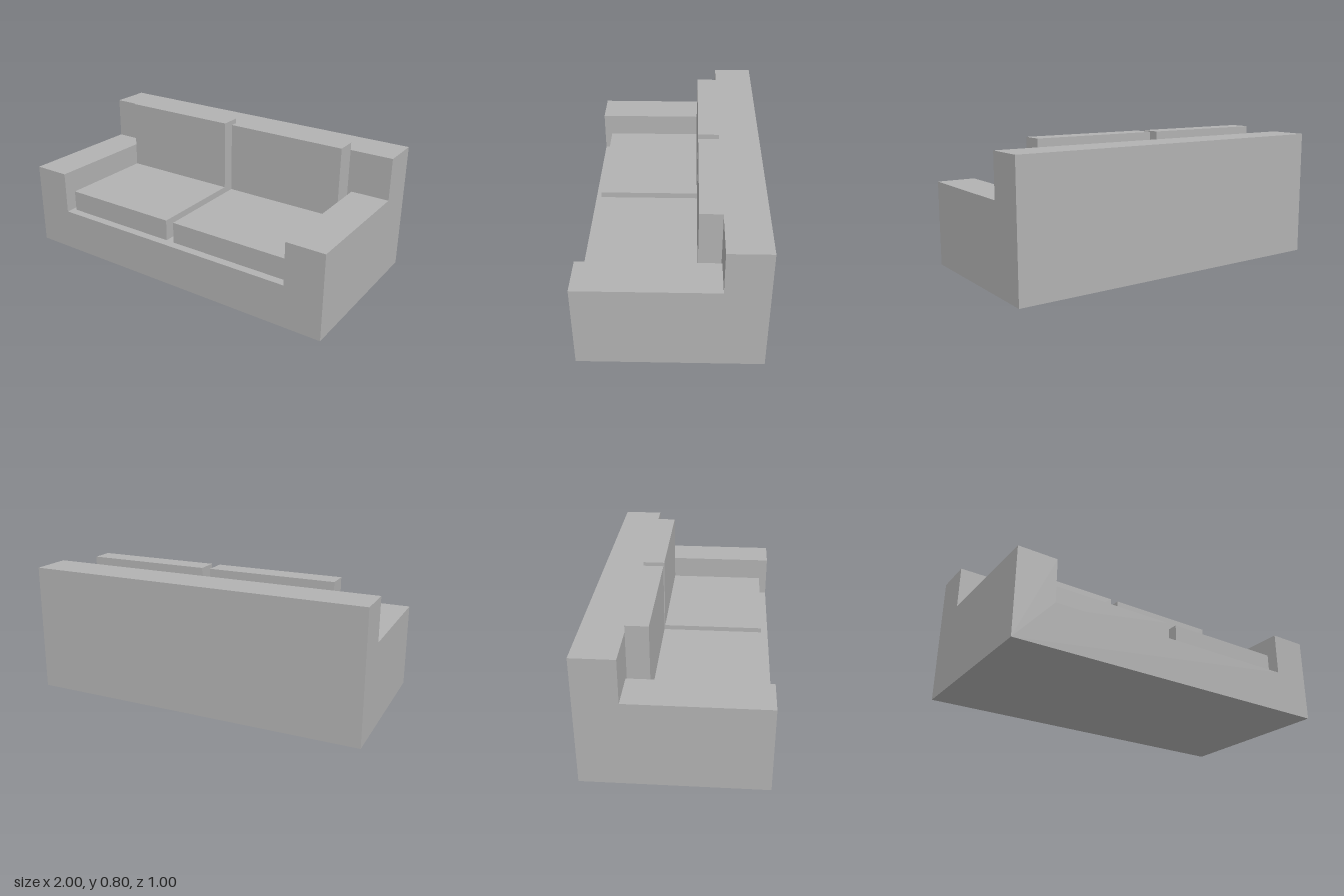
import * as THREE from 'three';

export function createModel() {
  const sofa = new THREE.Group();
  sofa.name = 'sofa';
  const fabric = new THREE.MeshStandardMaterial({ color: 0xb2b2b2 });
  fabric.name = 'grey fabric';

  // Box given by its minimum and maximum corners
  function box(name, [x0, y0, z0], [x1, y1, z1]) {
    const geometry = new THREE.BoxGeometry(x1 - x0, y1 - y0, z1 - z0);
    const mesh = new THREE.Mesh(geometry, fabric);
    mesh.position.set((x0 + x1) / 2, (y0 + y1) / 2, (z0 + z1) / 2);
    mesh.name = name;
    sofa.add(mesh);
  }

  // Base and both arms: one U-shaped section running front to back
  const section = new THREE.Shape([
    [-1, 0], [1, 0], [1, 0.5], [0.775, 0.5],
    [0.775, 0.25], [-0.775, 0.25], [-0.775, 0.5], [-1, 0.5],
  ].map(([x, y]) => new THREE.Vector2(x, y)));
  const backFront = -0.265;
  const body = new THREE.Mesh(
    new THREE.ExtrudeGeometry(section, { depth: 0.5 - backFront, bevelEnabled: false }),
    fabric,
  );
  body.position.z = backFront;
  body.name = 'baseAndArms';
  sofa.add(body);

  // Full-width backrest
  box('backrest', [-1, 0, -0.5], [1, 0.75, backFront]);

  // A seat cushion and a taller back cushion on each side
  for (const [side, x0, x1] of [['left', 0.025, 0.75], ['right', -0.75, -0.025]]) {
    box(side + 'SeatCushion', [x0, 0.25, -0.14], [x1, 0.375, 0.45]);
    box(side + 'BackCushion', [x0, 0.25, -0.2625], [x1, 0.795, -0.14]);
  }
  return sofa;
}
